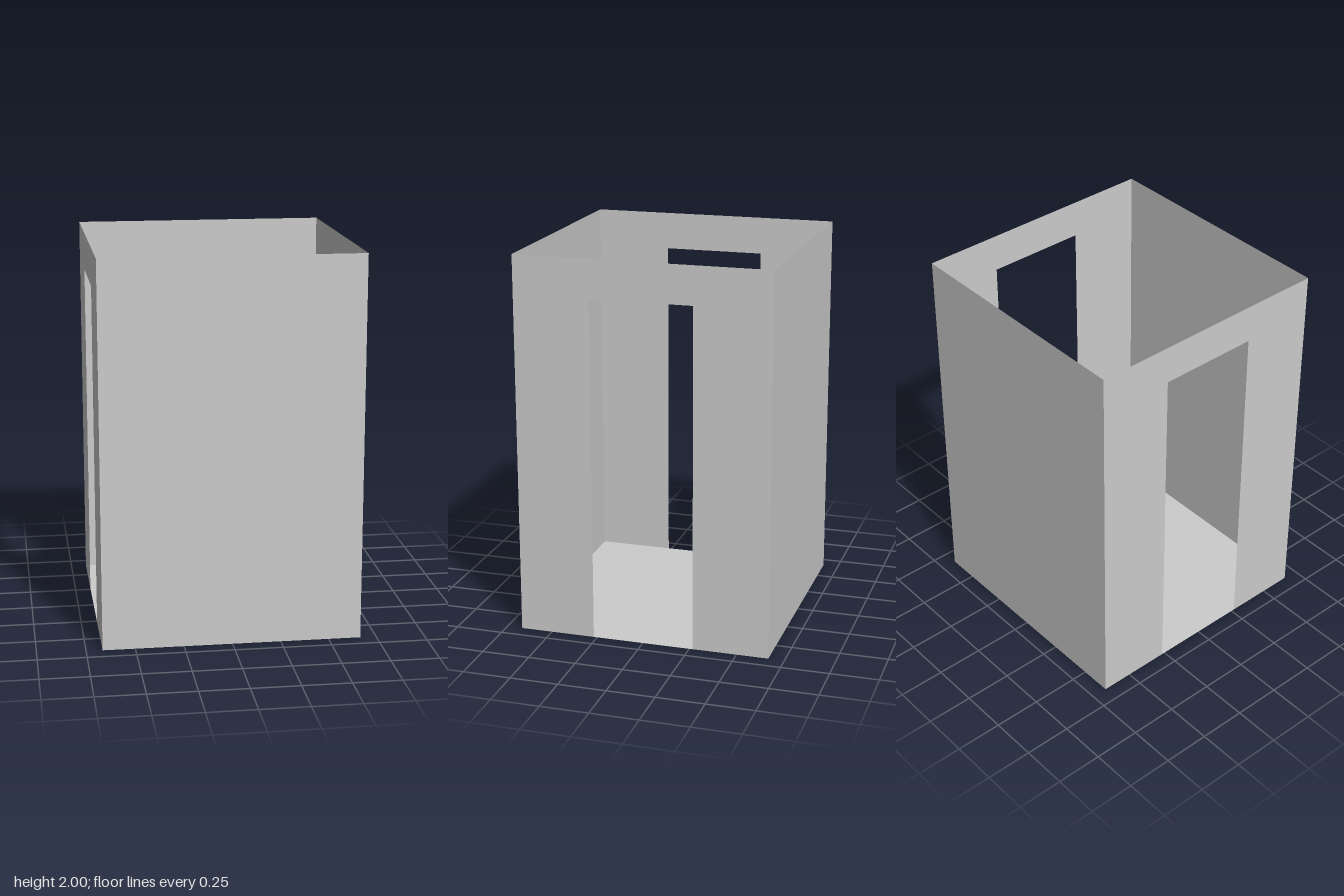
import * as THREE from 'three';

const HALF = 2 / 3, HEIGHT = 2;
const DOOR_HALF = 0.267, DOOR_HEIGHT = 1.8;

export function createModel() {
  const group = new THREE.Group();
  const material = new THREE.MeshStandardMaterial({
    color: 0xcccccc, flatShading: true, side: THREE.DoubleSide,
  });

  const add = (name, geometry) => {
    const mesh = new THREE.Mesh(geometry, material);
    mesh.name = name;
    group.add(mesh);
    return mesh;
  };

  // Floor slab, a single thin sheet
  add('floor', new THREE.PlaneGeometry(2 * HALF, 2 * HALF)).rotation.x = -Math.PI / 2;

  // Wall outline with a doorway that reaches the floor
  const doorWall = new THREE.Shape([
    [-HALF, 0], [-DOOR_HALF, 0], [-DOOR_HALF, DOOR_HEIGHT], [DOOR_HALF, DOOR_HEIGHT],
    [DOOR_HALF, 0], [HALF, 0], [HALF, HEIGHT], [-HALF, HEIGHT],
  ].map(([x, y]) => new THREE.Vector2(x, y)));

  for (const side of [1, -1]) {
    // Solid front and back walls
    const solid = add(side > 0 ? 'frontWall' : 'backWall', new THREE.PlaneGeometry(2 * HALF, HEIGHT));
    solid.position.set(0, HEIGHT / 2, side * HALF);
    solid.rotation.y = side > 0 ? 0 : Math.PI;

    // Left and right walls with doorways; the top stays open
    const open = add(side > 0 ? 'leftDoorWall' : 'rightDoorWall', new THREE.ShapeGeometry(doorWall));
    open.position.x = side * HALF;
    open.rotation.y = side * Math.PI / 2;
  }

  return group;
}
